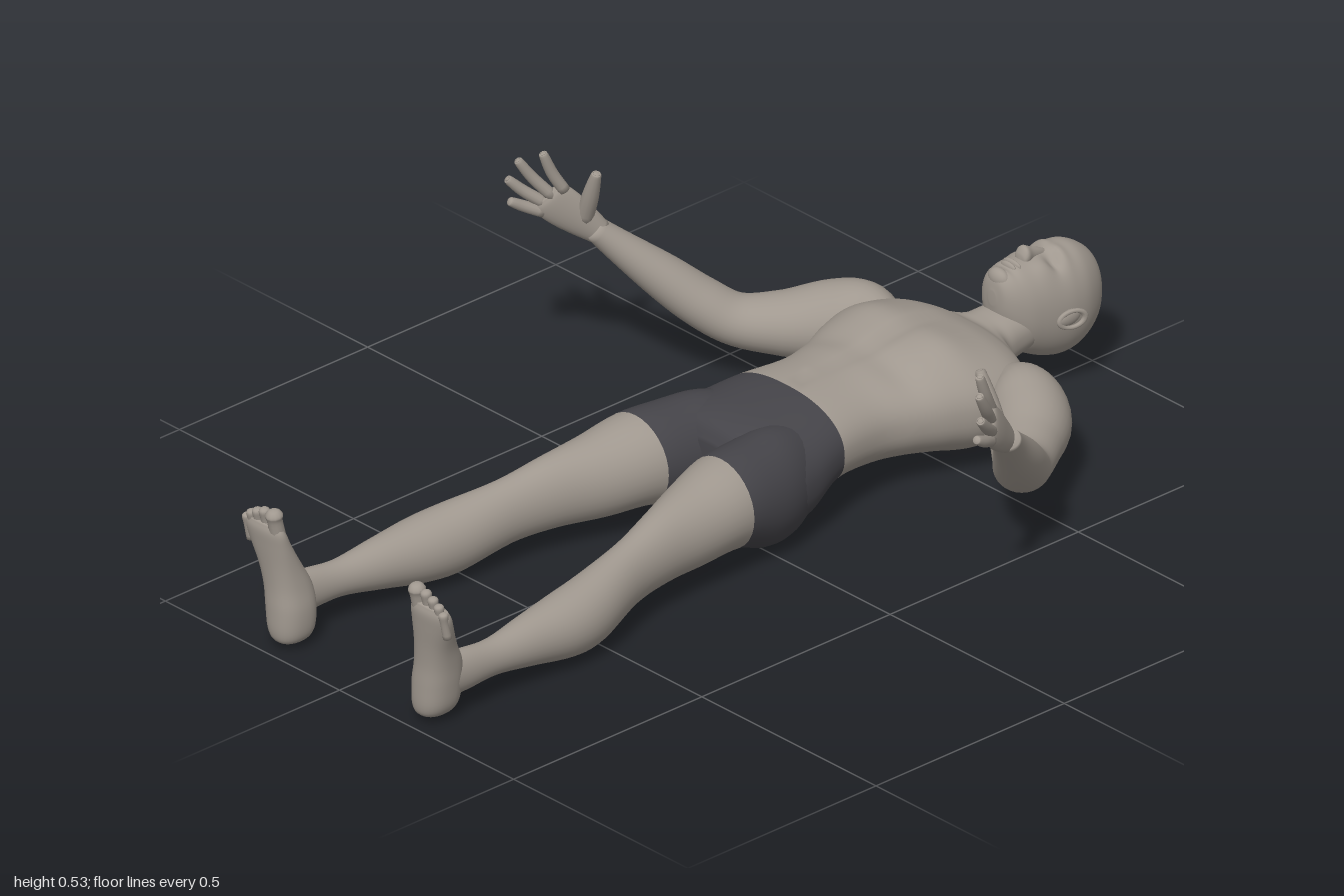
import * as THREE from 'three';

const V = (x, y, z) => new THREE.Vector3(x, y, z);
const skin = new THREE.MeshStandardMaterial({ color: 0xa0988f });
skin.name = 'skin';
const cloth = new THREE.MeshStandardMaterial({ color: 0x454449 });
cloth.name = 'shorts cloth';

// Smooth closed tube through stations [x, y, z, halfWidth, halfDepth].
// up: direction of halfDepth; dir: fixed axis (else the path tangent);
// split: station where the material changes; power: above 2 squares the section.
function loft(name, stations, { up = V(0, 1, 0), dir, split, mats = [skin, skin], power = 2, sides = 32, steps = 5, shape } = {}) {
  const centre = new THREE.CatmullRomCurve3(stations.map(s => V(s[0], s[1], s[2])), false, 'catmullrom', 0.5);
  const size = new THREE.CatmullRomCurve3(stations.map(s => V(s[3], s[4], 0)), false, 'catmullrom', 0.5);
  const rows = (stations.length - 1) * steps;
  const pos = [], index = [];
  const sgnPow = c => Math.sign(c) * Math.abs(c) ** (2 / power);
  for (let i = 0; i <= rows; i++) {
    const c = centre.getPoint(i / rows), r = size.getPoint(i / rows);
    const t = (dir || centre.getTangent(i / rows)).clone().normalize();
    const v = up.clone().addScaledVector(t, -up.dot(t)).normalize();
    const u = v.clone().cross(t);
    for (let j = 0; j < sides; j++) {
      const a = j / sides * Math.PI * 2;
      const p = c.clone().addScaledVector(u, r.x * sgnPow(Math.cos(a))).addScaledVector(v, r.y * sgnPow(Math.sin(a)));
      if (shape) shape(p);
      pos.push(p.x, p.y, p.z);
    }
  }
  const first = pos.length / 3;
  const a = stations[0], b = stations[stations.length - 1];
  pos.push(a[0], a[1], a[2], b[0], b[1], b[2]);
  for (let j = 0; j < sides; j++) index.push(first, (j + 1) % sides, j);
  let cut = 0;
  for (let i = 0; i < rows; i++) {
    if (split !== undefined && i === split * steps) cut = index.length;
    for (let j = 0; j < sides; j++) {
      const k = (j + 1) % sides, p = i * sides, q = p + sides;
      index.push(p + j, p + k, q + j, p + k, q + k, q + j);
    }
  }
  for (let j = 0; j < sides; j++) index.push(first + 1, rows * sides + j, rows * sides + (j + 1) % sides);
  const geo = new THREE.BufferGeometry();
  geo.setAttribute('position', new THREE.Float32BufferAttribute(pos, 3));
  geo.setIndex(index);
  geo.computeVertexNormals();
  if (cut) {
    geo.addGroup(0, cut, 0);
    geo.addGroup(cut, index.length - cut, 1);
  }
  const mesh = new THREE.Mesh(geo, cut ? mats : skin);
  mesh.name = name;
  return mesh;
}

// Rounded finger or toe through three points
function digit(name, p, r0, r1) {
  const [a, b, c] = p.map(q => V(...q));
  const end = c.clone().sub(b).normalize();
  const near = c.clone().addScaledVector(end, -r1 * 0.7), last = c.clone().addScaledVector(end, -r1 * 0.15);
  const st = [[a, r0], [b, r0 * 0.95], [near, r1], [last, r1 * 0.62], [c, r1 * 0.1]];
  return loft(name, st.map(([q, r]) => [q.x, q.y, q.z, r, r]), { up: V(1, 0.1, -0.5), sides: 12, steps: 4 });
}

function blob(name, x, y, z, rx, ry, rz) {
  const m = new THREE.Mesh(new THREE.SphereGeometry(1, 20, 14), skin);
  m.name = name;
  m.position.set(x, y, z);
  m.scale.set(rx, ry, rz);
  return m;
}

const bell = (d, w) => Math.exp(-(d * d) / (w * w));

// Chest, navel, spine and buttock relief
function torsoShape(p) {
  const x = Math.abs(p.x), z = p.z;
  if (p.y > 0.15) {
    p.y += 0.012 * bell(x - 0.1, 0.07) * bell(z + 0.5, 0.06);
    p.y -= 0.01 * bell(x, 0.018) * bell(z + 0.45, 0.14);
    p.y -= 0.008 * bell(x, 0.012) * bell(z + 0.23, 0.012);
    p.y -= 0.008 * bell(x - 0.09, 0.09) * bell(z + 0.39, 0.035);
  } else {
    p.y += 0.016 * bell(x, 0.03) * bell(z + 0.4, 0.22);
    p.y += 0.035 * bell(x, 0.022) * bell(z + 0.02, 0.09);
  }
}

// Eye sockets, brow and cheek relief
function headShape(p) {
  if (p.y < 0.22) return;
  const x = Math.abs(p.x), z = p.z;
  p.y -= 0.014 * bell(x - 0.033, 0.02) * bell(z + 0.863, 0.014);
  p.y += 0.006 * bell(x - 0.03, 0.03) * bell(z + 0.888, 0.012);
  p.y += 0.005 * bell(x - 0.045, 0.02) * bell(z + 0.83, 0.02);
  p.y -= 0.005 * bell(x, 0.03) * bell(z + 0.768, 0.008);
}

export function createModel() {
  const body = new THREE.Group();
  body.name = 'lyingFigure';
  const along = V(0, 0, 1);

  // Neck, trunk and pelvis
  body.add(loft('torso', [
    [0, 0.165, -0.8, 0.06, 0.05], [0, 0.157, -0.74, 0.066, 0.054], [0, 0.148, -0.705, 0.082, 0.06],
    [0, 0.14, -0.68, 0.145, 0.07], [0, 0.138, -0.65, 0.2, 0.09], [0, 0.135, -0.6, 0.228, 0.114],
    [0, 0.142, -0.52, 0.225, 0.122], [0, 0.148, -0.45, 0.203, 0.113], [0, 0.15, -0.38, 0.176, 0.104],
    [0, 0.15, -0.3, 0.157, 0.097], [0, 0.153, -0.185, 0.17, 0.096], [0, 0.128, -0.1, 0.188, 0.117],
    [0, 0.125, -0.04, 0.195, 0.113], [0, 0.128, 0, 0.17, 0.095], [0, 0.13, 0.02, 0.1, 0.06],
  ], { dir: along, split: 10, mats: [skin, cloth], power: 2.3, sides: 64, shape: torsoShape }));

  // Head
  body.add(loft('head', [
    [0, 0.19, -1, 0.004, 0.005], [0, 0.188, -0.992, 0.033, 0.05], [0, 0.187, -0.97, 0.058, 0.087],
    [0, 0.187, -0.93, 0.076, 0.112], [0, 0.185, -0.89, 0.081, 0.117], [0, 0.188, -0.85, 0.079, 0.112],
    [0, 0.197, -0.81, 0.073, 0.103], [0, 0.207, -0.78, 0.065, 0.093], [0, 0.222, -0.755, 0.051, 0.074],
    [0, 0.235, -0.739, 0.033, 0.047], [0, 0.24, -0.733, 0.01, 0.015],
  ], { dir: along, power: 2.15, sides: 64, steps: 8, shape: headShape }));

  // Nose and lips
  body.add(loft('nose', [
    [0, 0.289, -0.88, 0.006, 0.006], [0, 0.294, -0.86, 0.009, 0.012], [0, 0.3, -0.835, 0.012, 0.017],
    [0, 0.304, -0.818, 0.018, 0.021], [0, 0.3, -0.808, 0.015, 0.013], [0, 0.297, -0.805, 0.004, 0.004],
  ], { dir: along, sides: 20 }));
  body.add(blob('upperLip', 0, 0.296, -0.787, 0.025, 0.01, 0.006));
  body.add(blob('lowerLip', 0, 0.294, -0.777, 0.021, 0.01, 0.006));
  body.add(blob('chin', 0, 0.278, -0.752, 0.027, 0.021, 0.016));

  for (const s of [1, -1]) {
    const side = s > 0 ? 'left' : 'right';
    const flip = list => list.map(([x, ...rest]) => [x * s, ...rest]);
    const add = m => body.add(m);

    // Eye and ear
    add(blob(side + 'Eye', s * 0.033, 0.266, -0.862, 0.014, 0.011, 0.009));
    add(blob(side + 'EarBase', s * 0.082, 0.182, -0.862, 0.009, 0.017, 0.03));
    const rim = new THREE.Mesh(new THREE.TorusGeometry(0.02, 0.005, 8, 24), skin);
    rim.name = side + 'EarRim';
    rim.position.set(s * 0.089, 0.18, -0.865);
    rim.rotation.y = Math.PI / 2 - s * 0.25;
    rim.scale.set(1.4, 0.9, 1);
    add(rim);

    // Arm
    add(loft(side + 'Arm', flip([
      [0.16, 0.14, -0.615, 0.045, 0.06], [0.225, 0.14, -0.605, 0.076, 0.087], [0.285, 0.135, -0.57, 0.083, 0.084],
      [0.35, 0.132, -0.5, 0.07, 0.064], [0.41, 0.14, -0.435, 0.058, 0.052], [0.46, 0.178, -0.385, 0.056, 0.05],
      [0.51, 0.235, -0.33, 0.049, 0.045], [0.56, 0.303, -0.265, 0.035, 0.033], [0.592, 0.35, -0.222, 0.029, 0.024],
    ])));

    // Palm, fingers and thumb
    add(loft(side + 'Palm', flip([
      [0.583, 0.338, -0.232, 0.026, 0.021], [0.602, 0.373, -0.197, 0.037, 0.02], [0.619, 0.403, -0.167, 0.043, 0.018],
      [0.631, 0.425, -0.145, 0.042, 0.014], [0.635, 0.434, -0.136, 0.03, 0.007],
    ]), { up: V(0.836 * s, 0.148, -0.541), sides: 24 }));
    const fingers = {
      Index: [[0.612, 0.446, -0.163], [0.622, 0.488, -0.14], [0.627, 0.537, -0.12]],
      Middle: [[0.629, 0.432, -0.147], [0.651, 0.476, -0.114], [0.663, 0.52, -0.086]],
      Ring: [[0.641, 0.415, -0.138], [0.665, 0.445, -0.103], [0.68, 0.477, -0.073]],
      Little: [[0.643, 0.396, -0.135], [0.661, 0.414, -0.1], [0.671, 0.432, -0.07]],
    };
    for (const [n, p] of Object.entries(fingers)) add(digit(side + n + 'Finger', flip(p), 0.0125, 0.0095));
    add(digit(side + 'Thumb', flip([[0.596, 0.376, -0.202], [0.573, 0.435, -0.197], [0.55, 0.496, -0.192]]), 0.018, 0.011));

    // Leg, with the shorts down to the hem
    add(loft(side + 'Leg', flip([
      [0.095, 0.13, -0.13, 0.07, 0.09], [0.102, 0.122, -0.06, 0.094, 0.115], [0.112, 0.124, 0.01, 0.1, 0.114],
      [0.123, 0.14, 0.1, 0.096, 0.096], [0.137, 0.132, 0.2, 0.079, 0.086], [0.156, 0.126, 0.3, 0.058, 0.076],
      [0.175, 0.112, 0.4, 0.05, 0.068], [0.199, 0.09, 0.52, 0.062, 0.073], [0.209, 0.086, 0.6, 0.062, 0.068],
      [0.215, 0.09, 0.7, 0.047, 0.053], [0.221, 0.093, 0.8, 0.032, 0.039], [0.224, 0.096, 0.88, 0.03, 0.045],
      [0.222, 0.1, 0.94, 0.03, 0.05],
    ]), { dir: along, split: 3, mats: [cloth, skin] }));

    // Foot and toes
    add(loft(side + 'Foot', flip([
      [0.204, 0.014, 0.94, 0.012, 0.015], [0.205, 0.022, 0.938, 0.03, 0.038], [0.207, 0.045, 0.936, 0.041, 0.048],
      [0.21, 0.09, 0.935, 0.045, 0.05], [0.216, 0.135, 0.938, 0.044, 0.046], [0.223, 0.18, 0.951, 0.045, 0.036],
      [0.233, 0.23, 0.967, 0.051, 0.026], [0.238, 0.262, 0.976, 0.053, 0.02], [0.241, 0.28, 0.98, 0.046, 0.012],
    ]), { up: along, dir: V(0, 1, 0), power: 2.3 }));
    [[0.205, 0.317, 0.018], [0.232, 0.312, 0.0115], [0.252, 0.304, 0.011], [0.269, 0.294, 0.0105], [0.282, 0.281, 0.01]]
      .forEach(([x, y, r], i) => add(digit(side + 'Toe' + (i + 1),
        flip([[x, y - 0.06, 0.974], [x, y - 0.025, 0.982], [x, y, 0.986]]), r * 0.9, r)));
  }
  return body;
}
